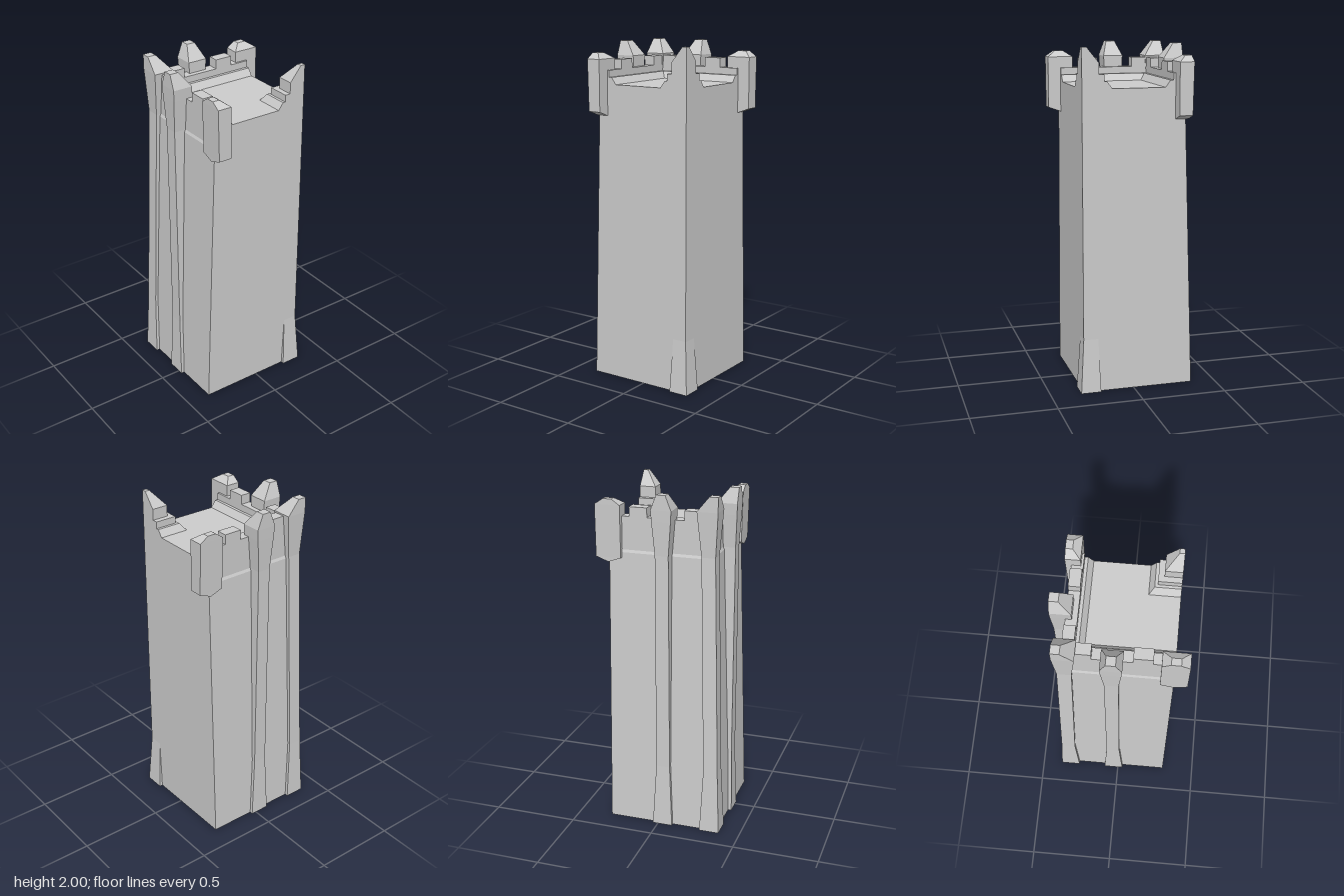
import * as THREE from 'three';

const material = new THREE.MeshStandardMaterial({ color: 0xcccccc, flatShading: true, side: THREE.DoubleSide });

// Stacks rectangles [y, x0, x1, z0, z1] into a solid, open below and capped on top.
function loft(rings) {
  const corners = rings.map(([y, x0, x1, z0, z1]) => [[x0, y, z1], [x1, y, z1], [x1, y, z0], [x0, y, z0]]);
  const pos = [];
  const quad = (a, b, c, d) => pos.push(...a, ...b, ...c, ...a, ...c, ...d);
  for (let i = 0; i < corners.length - 1; i++) {
    for (let k = 0; k < 4; k++) {
      const n = (k + 1) % 4;
      quad(corners[i][k], corners[i][n], corners[i + 1][n], corners[i + 1][k]);
    }
  }
  quad(...corners[corners.length - 1]);
  const g = new THREE.BufferGeometry();
  g.setAttribute('position', new THREE.Float32BufferAttribute(pos, 3));
  g.computeVertexNormals();
  return g;
}

// Swaps the front side and the right side across the diagonal of the plan.
const mirror = (rings) => rings.map(([y, x0, x1, z0, z1]) => [y, -z1, -z0, -x1, -x0]);

export function createModel() {
  const model = new THREE.Group();
  const add = (name, rings) => {
    const mesh = new THREE.Mesh(loft(rings), material);
    mesh.name = name;
    model.add(mesh);
  };
  const addPair = (name, rings) => {
    add(name + 'Front', rings);
    add(name + 'Right', mirror(rings));
  };

  // Shaft: two battered sides with a thin ledge, two plumb sides, roof floor on top
  add('towerShaft', [
    [0, -0.358, 0.302, -0.302, 0.358],
    [1.645, -0.302, 0.302, -0.302, 0.302],
    [1.66, -0.295, 0.302, -0.302, 0.295],
    [1.77, -0.295, 0.302, -0.302, 0.295],
  ]);

  // Parapets with a bevelled foot inside
  addPair('parapetFoot', [
    [1.77, -0.295, 0.302, 0.183, 0.295],
    [1.81, -0.295, 0.302, 0.212, 0.295],
  ]);
  addPair('parapet', [
    [1.81, -0.295, 0.302, 0.23, 0.295],
    [1.85, -0.295, 0.302, 0.23, 0.295],
  ]);

  // Merlons
  for (const [x0, x1] of [[-0.225, -0.138], [0.08, 0.185]]) {
    addPair('merlon', [
      [1.85, x0, x1, 0.23, 0.295],
      [1.905, x0, x1, 0.23, 0.295],
    ]);
  }

  // Buttresses in the middle of the two outer sides, ending in pinnacles
  addPair('middleButtress', [
    [0, -0.088, 0.03, 0.26, 0.378],
    [0.38, -0.072, 0.01, 0.28, 0.367],
    [1.66, -0.068, 0.01, 0.28, 0.367],
    [1.85, -0.084, 0.026, 0.26, 0.376],
    [1.915, -0.088, 0.03, 0.26, 0.378],
    [2, -0.055, -0.003, 0.326, 0.378],
  ]);

  // Leaning buttress on the outer corner
  add('cornerButtress', [
    [0, -0.378, -0.26, 0.26, 0.378],
    [0.38, -0.362, -0.277, 0.277, 0.362],
    [1.66, -0.325, -0.245, 0.245, 0.325],
    [1.915, -0.34, -0.22, 0.22, 0.34],
    [2, -0.34, -0.29, 0.29, 0.34],
  ]);

  // Inner corner: flared foot, stepped plinth and pinnacle
  add('innerCornerFoot', [
    [0, 0.203, 0.322, -0.322, -0.203],
    [0.32, 0.215, 0.302, -0.302, -0.215],
  ]);
  add('innerCornerBevel', [
    [1.77, 0.128, 0.302, -0.302, -0.128],
    [1.81, 0.157, 0.302, -0.302, -0.157],
  ]);
  add('innerCornerStep', [
    [1.81, 0.173, 0.302, -0.302, -0.173],
    [1.85, 0.173, 0.302, -0.302, -0.173],
  ]);
  add('innerCornerPinnacle', [
    [1.85, 0.205, 0.302, -0.302, -0.205],
    [1.915, 0.205, 0.302, -0.302, -0.205],
    [2, 0.274, 0.302, -0.302, -0.274],
  ]);

  // Hanging turrets at the far ends of the parapets, with a keeled underside
  addPair('hangingTurret', [
    [1.588, 0.302, 0.302, 0.243, 0.322],
    [1.615, 0.228, 0.376, 0.243, 0.322],
    [1.915, 0.228, 0.376, 0.243, 0.328],
    [1.948, 0.275, 0.327, 0.288, 0.328],
  ]);

  return model;
}
